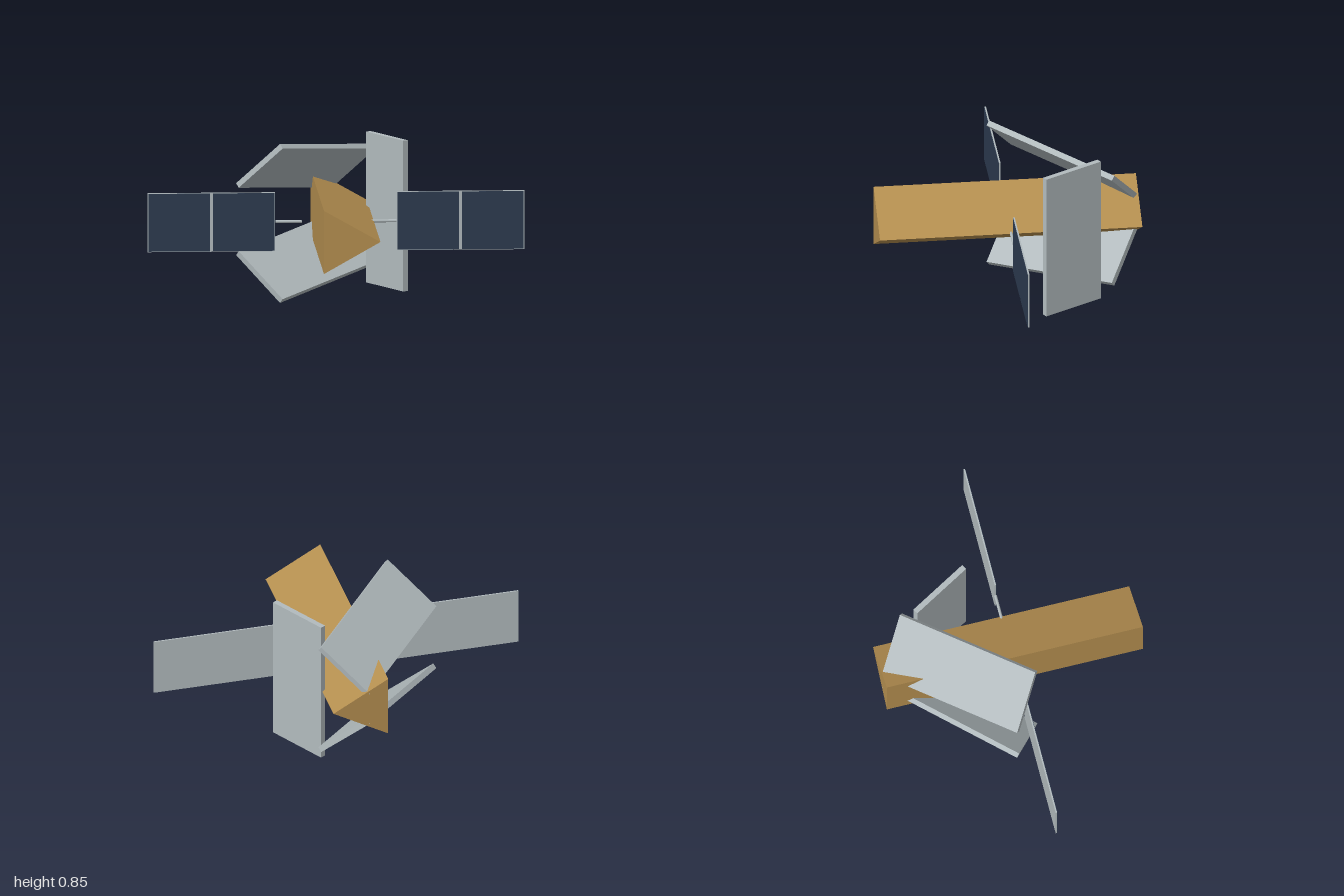
import * as THREE from 'three';

const AXIS_Y = 0.43;

export function createModel() {
  const gold = new THREE.MeshStandardMaterial({ color: 0xb58f50 });
  gold.name = 'gold foil';
  const grey = new THREE.MeshStandardMaterial({ color: 0xb2bbbe });
  grey.name = 'light grey metal';
  const blue = new THREE.MeshStandardMaterial({ color: 0x2d3b50 });
  blue.name = 'solar blue';

  const model = new THREE.Group();
  model.name = 'satellite';

  const add = (parent, name, geometry, material, x, y, z) => {
    const mesh = new THREE.Mesh(geometry, material);
    mesh.name = name;
    mesh.position.set(x, y, z);
    parent.add(mesh);
    return mesh;
  };

  // Triangular prism body, one corner pointing to +x
  const triangle = new THREE.Shape();
  for (let i = 0; i < 3; i++) {
    const a = (i * Math.PI * 2) / 3;
    const x = 0.2 * Math.cos(a), y = 0.196 * Math.sin(a);
    if (i === 0) triangle.moveTo(x, y);
    else triangle.lineTo(x, y);
  }
  triangle.closePath();
  const prism = new THREE.ExtrudeGeometry(triangle, { depth: 1.4, bevelEnabled: false });
  add(model, 'body', prism, gold, 0, AXIS_Y, -0.7);

  // Three slabs around the body: tilted outward, each spun within its own plane
  const slab = new THREE.BoxGeometry(0.03, 0.81, 0.36);
  const deg = Math.PI / 180;
  const names = ['sideSlab', 'upperSlab', 'lowerSlab'];
  [[0, 0], [120, 60], [-120, -60]].forEach(([around, spin], i) => {
    const pivot = new THREE.Group();
    pivot.name = names[i] + 'Mount';
    pivot.position.y = AXIS_Y;
    pivot.rotation.z = around * deg;
    const mesh = add(pivot, names[i], slab, grey, 0.2865, 0, -0.3135);
    // tilt first, then spin about the slab's own normal
    mesh.rotation.order = 'YXZ';
    mesh.rotation.set(spin * deg, 30 * deg, 0);
    model.add(pivot);
  });

  // Solar wings on thin rods, mirrored left and right
  for (const side of [1, -1]) {
    const wing = new THREE.Group();
    wing.name = side > 0 ? 'leftSolarWing' : 'rightSolarWing';
    add(wing, 'panelBacking', new THREE.BoxGeometry(0.676, 0.316, 0.008), grey, side * 0.662, AXIS_Y, 0);
    for (const x of [0.4905, 0.8325]) {
      add(wing, 'solarCells', new THREE.BoxGeometry(0.326, 0.31, 0.003), blue, side * x, AXIS_Y, 0.0045);
    }
    const rod = add(wing, 'rod', new THREE.CylinderGeometry(0.008, 0.008, 0.14, 8), grey, side * 0.252, AXIS_Y, 0);
    rod.rotation.z = Math.PI / 2;
    model.add(wing);
  }

  return model;
}
